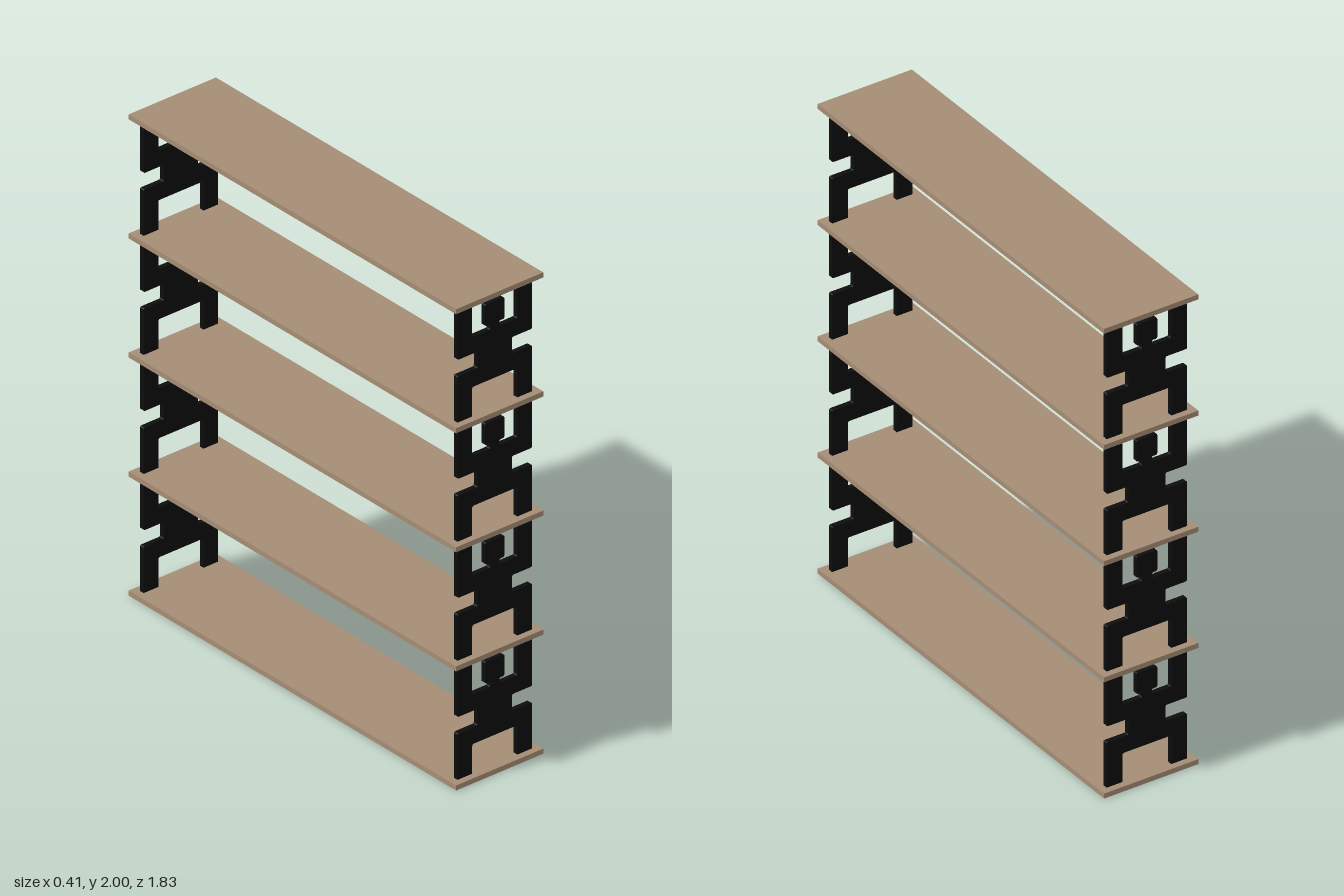
import * as THREE from 'three';

const T = 0.021;             // shelf thickness
const PITCH = (2 - T) / 4;   // shelf spacing
const PANEL = 0.021;         // upright thickness

// Closed shape from [x, y, cornerRadius] points, each corner softened by a small curve
function roundedShape(points) {
  const pts = points.map(([x, y]) => new THREE.Vector2(x, y));
  const n = pts.length;
  const shape = new THREE.Shape();
  pts.forEach((p, i) => {
    const r = points[i][2];
    const a = p.clone().add(pts[(i + n - 1) % n].clone().sub(p).setLength(r));
    const b = p.clone().add(pts[(i + 1) % n].clone().sub(p).setLength(r));
    if (i === 0) shape.moveTo(a.x, a.y);
    else shape.lineTo(a.x, a.y);
    if (r > 0) shape.quadraticCurveTo(p.x, p.y, b.x, b.y);
  });
  shape.closePath();
  return shape;
}

export function createModel() {
  const group = new THREE.Group();
  const wood = new THREE.MeshStandardMaterial({ color: 0xa68d75 });
  const black = new THREE.MeshStandardMaterial({ color: 0x0d0d0d });

  // Shelves
  const shelfGeo = new THREE.BoxGeometry(0.41, T, 1.826);
  for (let i = 0; i < 5; i++) {
    const shelf = new THREE.Mesh(shelfGeo, wood);
    shelf.name = 'shelf' + (i + 1);
    shelf.position.y = T / 2 + i * PITCH;
    group.add(shelf);
  }

  // Half outline of the figure-shaped support, from crotch up to head
  const R = 0.007;
  const half = [
    [0.106, 0.143, R], [0.106, T, 0], [0.175, T, 0],              // leg
    [0.175, 0.212, R], [0.081, 0.212, R],                         // hip
    [0.081, 0.281, R], [0.175, 0.281, R],                         // waist, elbow
    [0.175, PITCH, 0], [0.106, PITCH, 0],                         // raised arm
    [0.106, 0.35, R], [0.021, 0.35, R],                           // shoulder
    [0.021, 0.372, R], [0.045, 0.372, R], [0.045, 0.461, R],      // neck, head
  ];
  const mirrored = half.map(([x, y, r]) => [-x, y, r]).reverse();
  const figureGeo = new THREE.ExtrudeGeometry(roundedShape([...half, ...mirrored]), {
    depth: PANEL, bevelEnabled: false, curveSegments: 4,
  });
  figureGeo.translate(0, 0, -PANEL / 2);

  // One support per tier at each end
  for (const [end, z] of [['front', 0.875], ['back', -0.875]]) {
    for (let i = 0; i < 4; i++) {
      const support = new THREE.Mesh(figureGeo, black);
      support.name = end + 'Support' + (i + 1);
      support.position.set(0, i * PITCH, z);
      group.add(support);
    }
  }
  return group;
}
